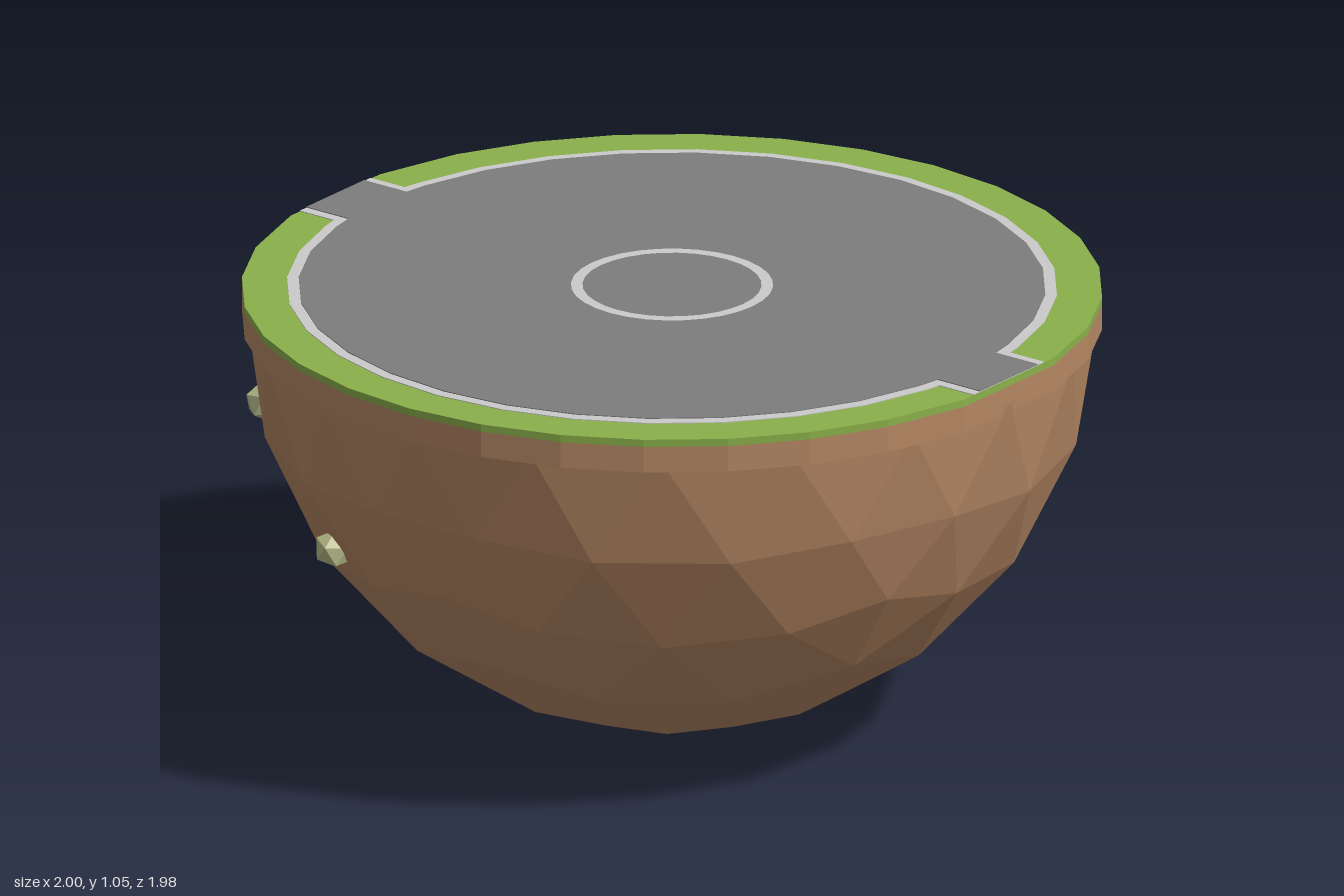
import * as THREE from 'three';

const mat = (name, color) => {
  const m = new THREE.MeshStandardMaterial({ color });
  m.name = name;
  return m;
};

export function createModel() {
  const earth = mat('earth brown', 0xb58763);
  const grass = mat('grass green', 0x8ab04a);
  const paving = mat('paving grey', 0x7d7d7d);
  const line = mat('line light grey', 0xcbcbcb);
  const stone = mat('pale stone', 0xb4b886);

  const island = new THREE.Group();
  island.name = 'floatingIsland';
  const add = (name, geometry, material) => {
    const mesh = new THREE.Mesh(geometry, material);
    mesh.name = name;
    island.add(mesh);
    return mesh;
  };

  const R = 0.99; // radius of the earth bowl and height of its centre
  const END = 0.985; // z of the flat ends where the path leaves the disc

  // Faceted bowl: lower half of a subdivided icosahedron standing on a corner
  const ball = new THREE.IcosahedronGeometry(R, 3);
  ball.rotateZ(Math.atan((1 + Math.sqrt(5)) / 2) - Math.PI / 2);
  const p = ball.attributes.position;
  const lower = [];
  for (let i = 0; i < p.count; i += 3) {
    if (p.getY(i) + p.getY(i + 1) + p.getY(i + 2) > -0.01) continue;
    for (let k = i; k < i + 3; k++) lower.push(p.getX(k), p.getY(k) + R, p.getZ(k));
  }
  const bowl = new THREE.BufferGeometry();
  bowl.setAttribute('position', new THREE.Float32BufferAttribute(lower, 3));
  bowl.computeVertexNormals();
  add('earthBowl', bowl, earth);

  // Horizontal slab from an outline
  const slab = (shape, bottom, top) => {
    const g = new THREE.ExtrudeGeometry(shape, { depth: top - bottom, bevelEnabled: false });
    g.rotateX(-Math.PI / 2);
    g.translate(0, bottom, 0);
    return g;
  };

  // 32-sided disc outline whose front and back arcs give way to a straight strip
  const outline = (radius, halfWidth) => {
    const pts = [];
    const half = [];
    const step = Math.PI / 16;
    const joint = Math.sqrt(radius * radius - halfWidth * halfWidth);
    half.push([halfWidth, -END]);
    if (joint < END - 0.02) half.push([halfWidth, -joint]);
    for (let i = -7; i <= 7; i++) {
      const x = radius * Math.cos(i * step);
      if (x > halfWidth + 0.03) half.push([x, radius * Math.sin(i * step)]);
    }
    if (joint < END - 0.02) half.push([halfWidth, joint]);
    half.push([halfWidth, END]);
    for (const s of [1, -1]) for (const [x, y] of half) pts.push(new THREE.Vector2(s * x, s * y));
    return new THREE.Shape(pts);
  };

  // Rim layers and the ground on top of them
  add('earthRim', slab(outline(1, 0.17), 0.965, 1.028), earth);
  add('grassLayer', slab(outline(1, 0.17), 1.028, 1.046), grass);
  add('kerbLine', slab(outline(0.895, 0.135), 1.046, 1.048), line);
  add('pavedGround', slab(outline(0.868, 0.11), 1.048, 1.05), paving);

  // Centre circle marking
  const ring = new THREE.RingGeometry(0.208, 0.235, 32);
  ring.rotateX(-Math.PI / 2);
  ring.translate(0, 1.052, 0);
  add('centreCircle', ring, line);

  // Stones half buried in the back of the bowl: x, y, z, size
  const stones = [
    [0.87, 0.81, -0.44, 0.036], [0.62, 0.73, -0.73, 0.05], [0.16, 0.81, -0.95, 0.044],
    [0.67, 0.41, -0.44, 0.052], [0.38, 0.32, -0.62, 0.046], [-0.1, 0.54, -0.87, 0.04],
    [-0.53, 0.74, -0.79, 0.05], [-0.78, 0.54, -0.39, 0.05], [-0.4, 0.35, -0.63, 0.045],
  ];
  stones.forEach(([x, y, z, size], i) => {
    const rock = add('stone' + (i + 1), new THREE.IcosahedronGeometry(size, 0), stone);
    const out = new THREE.Vector3(x, y - R, z).normalize();
    rock.position.copy(out).multiplyScalar(R - 0.012);
    rock.position.y += R;
    rock.rotation.set(i * 1.3, i * 0.7, i * 2.1);
    rock.scale.set(1, 0.9, 1.05);
  });

  return island;
}
